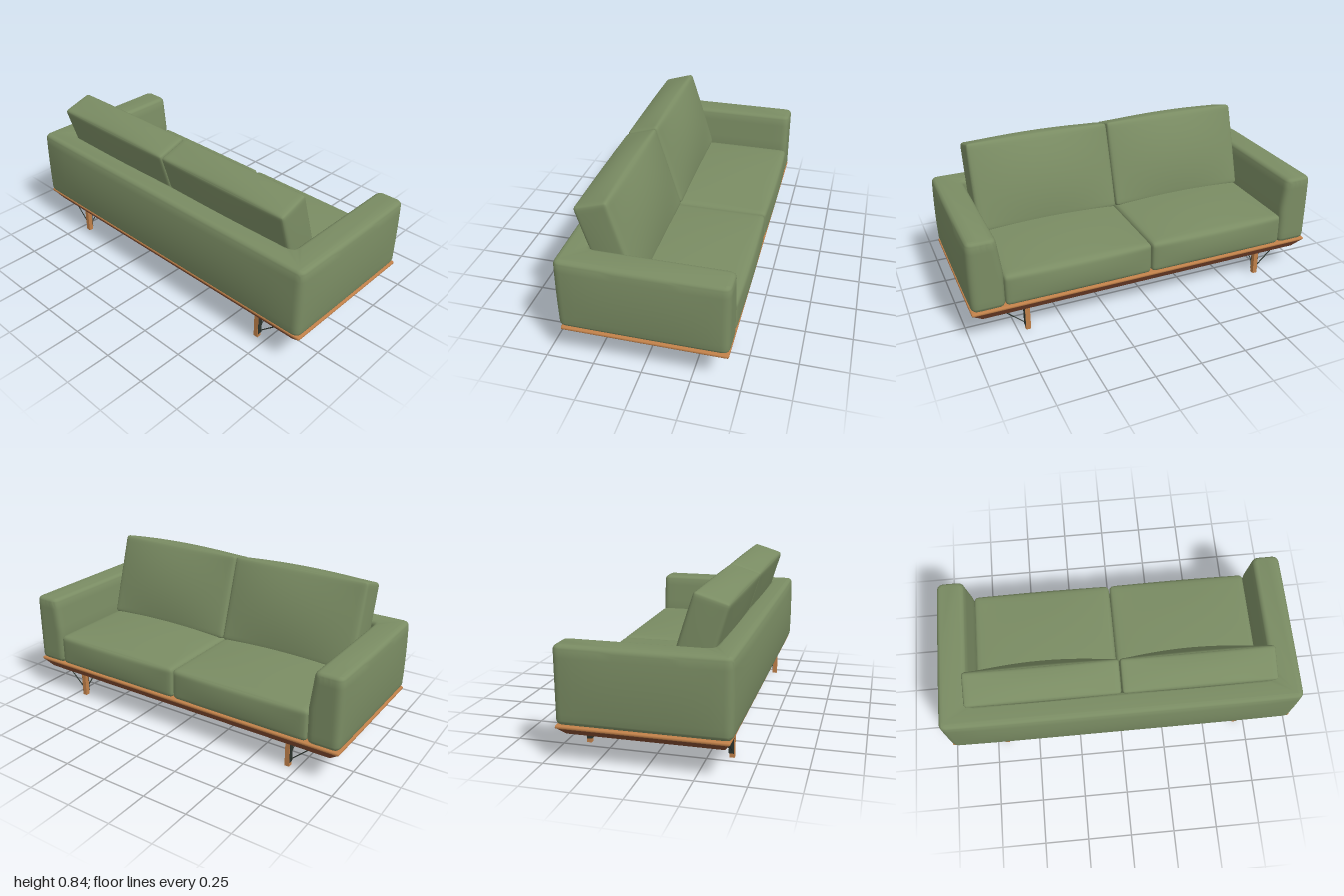
import * as THREE from 'three';
import { mergeVertices, toCreasedNormals } from 'three/addons/utils/BufferGeometryUtils.js';

const fabric = new THREE.MeshStandardMaterial({ color: 0x7a8c63 });
const wood = new THREE.MeshStandardMaterial({ color: 0xc08049 });
const darkWood = new THREE.MeshStandardMaterial({ color: 0x824a30 });
const metal = new THREE.MeshStandardMaterial({ color: 0x2b332d });
const lining = new THREE.MeshStandardMaterial({ color: 0x050505 });
fabric.name = 'green fabric';
wood.name = 'wood';
darkWood.name = 'dark wood';
metal.name = 'dark metal';
lining.name = 'black lining';

function add(parent, name, geometry, material, x = 0, y = 0, z = 0) {
  const mesh = new THREE.Mesh(geometry, material);
  mesh.name = name;
  mesh.position.set(x, y, z);
  parent.add(mesh);
  return mesh;
}

// Box with rounded edges; faces swell by bulge per axis, the -x face by backBulge
function softBox(size, r, bulge = [0, 0, 0], backBulge = 0) {
  const n = 22;
  const geo = new THREE.BoxGeometry(2, 2, 2, n, n, n);
  const half = size.map((s) => s / 2);
  const pos = geo.attributes.position;
  const inner = new THREE.Vector3(), out = new THREE.Vector3();
  for (let i = 0; i < pos.count; i++) {
    // Crowd the grid toward the edges
    const u = [pos.getX(i), pos.getY(i), pos.getZ(i)].map((c) => Math.sin(c * Math.PI / 2));
    const p = u.map((c, k) => c * half[k]);
    inner.fromArray(p.map((c, k) => THREE.MathUtils.clamp(c, r - half[k], half[k] - r)));
    out.fromArray(p).sub(inner).setLength(r).add(inner);
    const swell = u.map((c, k) => {
      const a = u[(k + 1) % 3], b = u[(k + 2) % 3];
      const amount = k === 0 && c < 0 ? backBulge : bulge[k];
      return amount * c * (1 - a * a) * (1 - b * b);
    });
    pos.setXYZ(i, out.x + swell[0], out.y + swell[1], out.z + swell[2]);
  }
  geo.deleteAttribute('normal');
  geo.deleteAttribute('uv');
  const merged = mergeVertices(geo, 1e-5);
  merged.computeVertexNormals();
  return merged;
}

// Closed polygon with rounded corners and subdivided straight sides
function roundedShape(points, r, divisions) {
  const pts = points.map((p) => new THREE.Vector2(...p));
  const shape = new THREE.Shape();
  pts.forEach((p, i) => {
    const prev = pts[(i + pts.length - 1) % pts.length], next = pts[(i + 1) % pts.length];
    const a = prev.clone().sub(p).setLength(r).add(p);
    const b = next.clone().sub(p).setLength(r).add(p);
    const end = p.clone().sub(next).setLength(r).add(next);
    if (i === 0) shape.moveTo(a.x, a.y);
    shape.quadraticCurveTo(p.x, p.y, b.x, b.y);
    for (let k = 1; k <= divisions; k++) {
      const q = b.clone().lerp(end, k / divisions);
      shape.lineTo(q.x, q.y);
    }
  });
  return shape;
}

// Back and both arms as one U-shaped upholstered shell
function shellGeometry() {
  const h = 0.395, bevel = 0.025;
  const shape = roundedShape([
    [-0.425, -0.987], [0.436, -0.987], [0.436, -0.835], [-0.3, -0.835],
    [-0.3, 0.835], [0.436, 0.835], [0.436, 0.987], [-0.425, 0.987],
  ], 0.04, 12);
  const geo = new THREE.ExtrudeGeometry(shape, {
    depth: h - 2 * bevel, steps: 10, curveSegments: 6,
    bevelThickness: bevel, bevelSize: bevel, bevelOffset: -bevel, bevelSegments: 5,
  });
  geo.translate(0, 0, bevel);
  geo.rotateX(-Math.PI / 2);
  const pos = geo.attributes.position;
  for (let i = 0; i < pos.count; i++) {
    const x = pos.getX(i), y = pos.getY(i), z = pos.getZ(i);
    const t = y / h, swell = 1 - (2 * t - 1) ** 2, side = Math.sign(z);
    let dx = 0, dz = 0;
    // Outer faces swell, fading out at the vertical corners
    if (x < -0.37) dx = -0.02 * swell * (1 - Math.min(1, Math.abs(z) / 0.987) ** 6);
    if (Math.abs(z) > 0.93) dz = side * 0.013 * swell * (1 - Math.min(1, Math.abs(x) / 0.436) ** 4);
    else if (Math.abs(z) > 0.78 && x > -0.33) dz = -side * 0.025 * Math.min(1, 2 * (1 - t)); // arms thicken downward
    pos.setXYZ(i, x + dx, y, z + dz);
  }
  return toCreasedNormals(geo, 0.7);
}

// Wooden skirt tapering to the underside
function skirtGeometry() {
  const geo = new THREE.BoxGeometry(0.84, 0.046, 1.97);
  const pos = geo.attributes.position;
  for (let i = 0; i < pos.count; i++) {
    if (pos.getY(i) < 0) pos.setXYZ(i, pos.getX(i) * 0.93, pos.getY(i), pos.getZ(i) * 0.945);
  }
  const flat = geo.toNonIndexed();
  flat.computeVertexNormals();
  return flat;
}

function rod(parent, name, from, to) {
  const path = new THREE.LineCurve3(new THREE.Vector3(...from), new THREE.Vector3(...to));
  add(parent, name, new THREE.TubeGeometry(path, 1, 0.003, 8), metal);
}

export function createModel() {
  const sofa = new THREE.Group();
  sofa.name = 'sofa';

  // Base
  add(sofa, 'baseRail', softBox([0.85, 0.019, 1.98], 0.009), wood, 0.01, 0.1875, 0);
  add(sofa, 'baseSkirt', skirtGeometry(), darkWood, 0.01, 0.159, 0);
  add(sofa, 'undersideLining', new THREE.BoxGeometry(0.778, 0.002, 1.858), lining, 0.01, 0.1363, 0);

  // Upholstery
  add(sofa, 'armsAndBack', shellGeometry(), fabric, 0, 0.196, 0);
  for (const s of [-1, 1]) {
    add(sofa, 'seatCushion', softBox([0.755, 0.178, 0.812], 0.026, [0.012, 0.022, 0.003]),
      fabric, 0.0575, 0.285, s * 0.407);
    const back = add(sofa, 'backCushion', softBox([0.182, 0.49, 0.812], 0.018, [0.034, 0.016, 0.005], 0.008),
      fabric, -0.214, 0.58, s * 0.4085);
    back.rotation.z = 0.3;
  }

  // Legs with metal brackets on the outer and inward faces, braced by thin rods
  for (const sx of [-1, 1]) {
    for (const sz of [-1, 1]) {
      const leg = new THREE.Group();
      leg.name = sx > 0 ? 'frontLeg' : 'backLeg';
      leg.position.set(sx > 0 ? 0.38 : -0.367, 0, sz * 0.695);
      add(leg, 'legPost', new THREE.BoxGeometry(0.026, 0.136, 0.026), wood, 0, 0.068, 0);
      add(leg, 'sidePlate', new THREE.BoxGeometry(0.025, 0.112, 0.003), metal, -sx * 0.002, 0.078, sz * 0.0145);
      add(leg, 'innerPlate', new THREE.BoxGeometry(0.003, 0.112, 0.027), metal, -sx * 0.0145, 0.078, 0);
      rod(leg, 'lengthBrace', [0, 0.04, sz * 0.014], [-sx * 0.004, 0.136, sz * 0.122]);
      rod(leg, 'depthBrace', [-sx * 0.013, 0.04, 0], [-sx * 0.12, 0.136, 0]);
      sofa.add(leg);
    }
  }
  return sofa;
}
